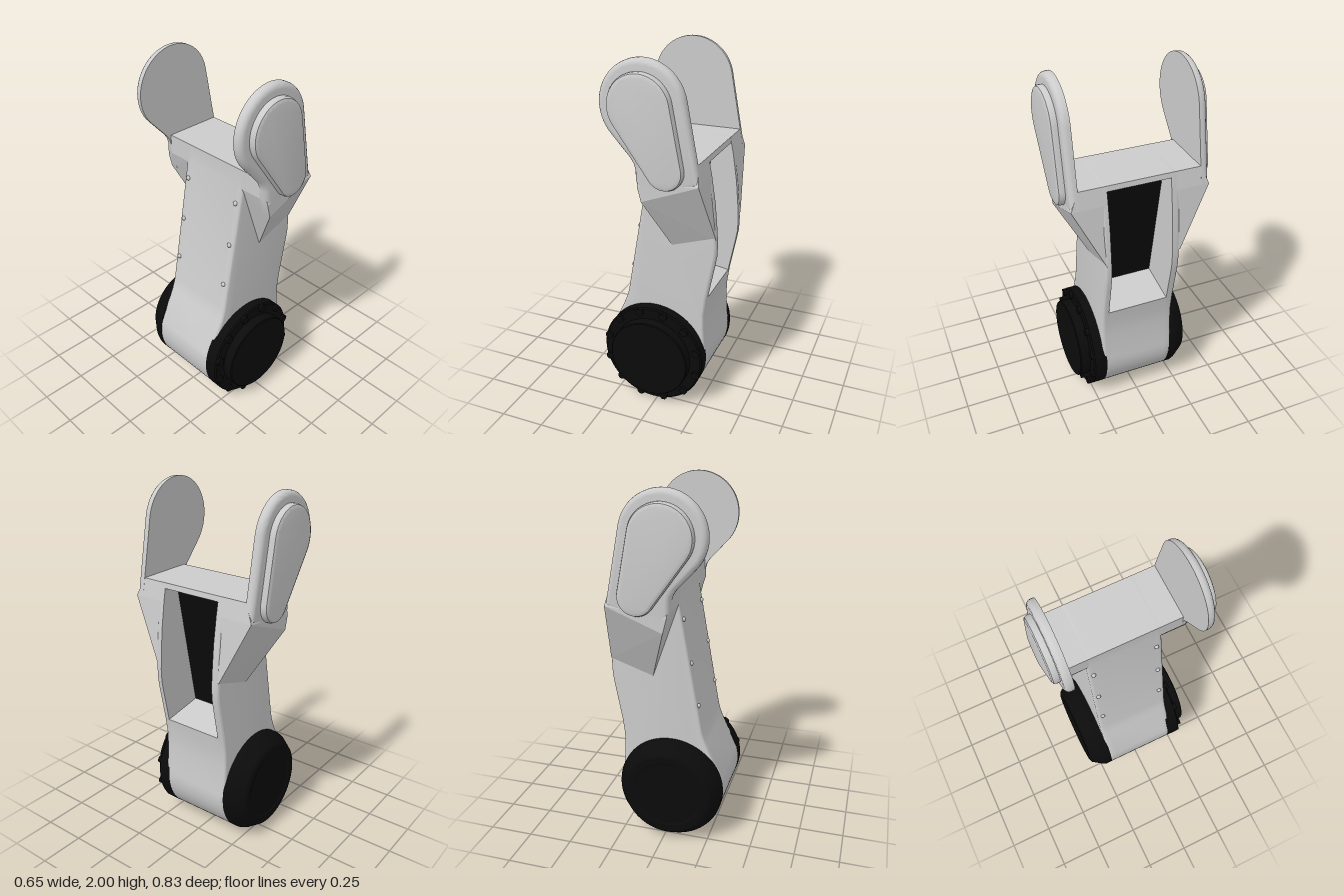
import * as THREE from 'three';
import { toCreasedNormals } from 'three/addons/utils/BufferGeometryUtils.js';
import { ConvexGeometry } from 'three/addons/geometries/ConvexGeometry.js';

const HUB = [-0.025, 0.3];

// Points on an arc, counterclockwise, angles in degrees
function arc(cx, cy, r, from, to, n) {
  return Array.from({ length: n + 1 }, (_, i) => {
    const a = THREE.MathUtils.degToRad(from + ((to - from) * i) / n);
    return [cx + r * Math.cos(a), cy + r * Math.sin(a)];
  });
}

// Moves a counterclockwise outline inward by d
function inset(pts, d) {
  return pts.map((p, i) => {
    const a = pts[(i + pts.length - 1) % pts.length], b = pts[(i + 1) % pts.length];
    const u = new THREE.Vector2(p[1] - a[1], a[0] - p[0]).normalize();
    const v = new THREE.Vector2(b[1] - p[1], p[0] - b[0]).normalize();
    const k = d / Math.max(1 + u.dot(v), 0.4);
    return [p[0] - (u.x + v.x) * k, p[1] - (u.y + v.y) * k];
  });
}

// Slab from |z| = z0 to z1 on one side, with its outer edge rounded (or chamfered if steps = 1)
function slab(pts, z0, z1, bevel = 0, side = 1, steps = 4) {
  const rings = [[z0, 0]];
  if (!bevel) rings.push([z1, 0]);
  else for (let i = 0; i <= steps; i++) {
    const a = (i / steps) * Math.PI / 2;
    rings.push([z1 - bevel + bevel * Math.sin(a), bevel * (1 - Math.cos(a))]);
  }
  const pos = [], idx = [], n = pts.length;
  rings.forEach(([z, d]) => inset(pts, d).forEach(([x, y]) => pos.push(x, y, z * side)));
  const tri = (a, b, c) => (side > 0 ? idx.push(a, b, c) : idx.push(a, c, b));
  for (let r = 0; r < rings.length - 1; r++) {
    for (let i = 0; i < n; i++) {
      const j = (i + 1) % n, a = r * n, b = a + n;
      tri(a + i, a + j, b + j);
      tri(a + i, b + j, b + i);
    }
  }
  const top = (rings.length - 1) * n;
  const faces = THREE.ShapeUtils.triangulateShape(pts.map(p => new THREE.Vector2(...p)), []);
  for (const [a, b, c] of faces) {
    tri(top + a, top + b, top + c);
    tri(a, c, b);
  }
  const g = new THREE.BufferGeometry();
  g.setAttribute('position', new THREE.Float32BufferAttribute(pos, 3));
  g.setIndex(idx);
  return toCreasedNormals(g, 0.5);
}

// Turned part around the hub axis, profile of [radius, z] with z rising
function turned(profile) {
  const g = new THREE.LatheGeometry(profile.map(p => new THREE.Vector2(...p)), 64);
  g.rotateX(Math.PI / 2).translate(HUB[0], HUB[1], 0);
  return toCreasedNormals(g, 0.4);
}

export function createModel() {
  const model = new THREE.Group();
  model.name = 'robotArmLink';
  const grey = new THREE.MeshStandardMaterial({ color: 0xcccccc });
  const black = new THREE.MeshStandardMaterial({ color: 0x0b0b0b });
  const add = (name, geometry, material = grey) => {
    const mesh = new THREE.Mesh(geometry, material);
    mesh.name = name;
    model.add(mesh);
    return mesh;
  };

  // Body: two full side walls and a core with the pocket cut out of its +x edge
  const lower = [...arc(...HUB, 0.298, 165, 370, 32), [0.258, 0.5], [0.259, 0.59], [0.272, 0.69]];
  const upper = [[0.26, 1.5], [-0.065, 1.5], [-0.065, 1.4], [-0.195, 0.66], [-0.204, 0.625], [-0.22, 0.58]];
  const bulge = [[0.31, 0.89], [0.32, 0.95], [0.322, 1.02], [0.317, 1.1], [0.303, 1.25], [0.28, 1.4]];
  const pocket = [[0.03, 0.73], [0.16, 1.43], [0.265, 1.47]];
  add('leftWall', slab([...lower, ...bulge, ...upper], 0.185, 0.22, 0.015, 1));
  add('rightWall', slab([...lower, ...bulge, ...upper], 0.165, 0.208, 0.015, -1));
  add('core', slab([...lower, ...pocket, ...upper], -0.165, 0.185));
  add('pocketPanel', slab([[0.03, 0.73], [0.034, 0.7295], [0.164, 1.4305], [0.16, 1.43]], -0.165, 0.185), black);

  // Plate outline and teardrop pad outline
  const plate = [...arc(-0.025, 1.77, 0.23, 12, 222, 36),
    [-0.095, 1.505], [-0.075, 1.475], [-0.065, 1.44], [-0.065, 1.39], [-0.03, 1.28], [0.28, 1.4]];
  const [c1, c2, r1, r2] = [[-0.025, 1.77], [0.105, 1.465], 0.17, 0.1];
  const dx = c2[0] - c1[0], dy = c2[1] - c1[1];
  const axis = THREE.MathUtils.radToDeg(Math.atan2(dy, dx));
  const spread = THREE.MathUtils.radToDeg(Math.acos((r1 - r2) / Math.hypot(dx, dy)));
  const pad = [...arc(...c1, r1, axis + spread, axis + 360 - spread, 32),
    ...arc(...c2, r2, axis - spread, axis + spread, 24)];

  for (const side of [1, -1]) {
    // Flare widening from the body up to the fork
    const at = (z, list) => list.map(([x, y]) => new THREE.Vector3(x, y, z * side));
    const shoulder = [[0.28, 1.4], [0.26, 1.5], [-0.065, 1.5], [-0.065, 1.39]];
    const foot = [[0.08, 0.97], [0.32, 1.05]];
    const flare = new ConvexGeometry([
      ...at(0.19, [...shoulder, ...foot]), ...at(0.21, [...shoulder, ...foot]), ...at(0.335, shoulder),
      ...at(0.38, [[-0.05, 1.36], [-0.03, 1.28], [0.28, 1.4]])]);
    add('forkFlare', flare);
    add('forkPlate', slab(plate, 0.335, 0.38, 0.028, side));
    add('forkPad', slab(pad, 0.37, 0.417, 0.02, side, 2));
  }

  // Plain domed hub cap at the back
  add('backHubCap', turned([[0, -0.317], [0.19, -0.317], [0.2, -0.322], [0.235, -0.322], [0.25, -0.315],
    [0.292, -0.255], [0.299, -0.235], [0.299, -0.2], [0, -0.2]]), black);

  // Stepped hub cap at the front, with a ring of screws
  add('frontHubCap', turned([[0, 0.2], [0.299, 0.2], [0.299, 0.272], [0.291, 0.28], [0.232, 0.28],
    [0.232, 0.335], [0.227, 0.34], [0, 0.34]]), black);
  for (let i = 0; i < 12; i++) {
    const a = ((i + 0.5) / 12) * Math.PI * 2;
    const screw = new THREE.CylinderGeometry(0.023, 0.023, 0.075, 12).rotateX(Math.PI / 2);
    add('hubScrew', screw, black).position.set(HUB[0] + 0.276 * Math.cos(a), HUB[1] + 0.276 * Math.sin(a), 0.257);
  }

  // Rivets down the -x face
  for (const z of [-0.18, 0.185]) {
    for (const y of [0.81, 1.055, 1.3]) {
      const rivet = add('rivet', new THREE.SphereGeometry(0.013, 14, 10));
      rivet.position.set(-0.065 - (1.4 - y) * 0.1757, y, z);
    }
  }
  return model;
}
